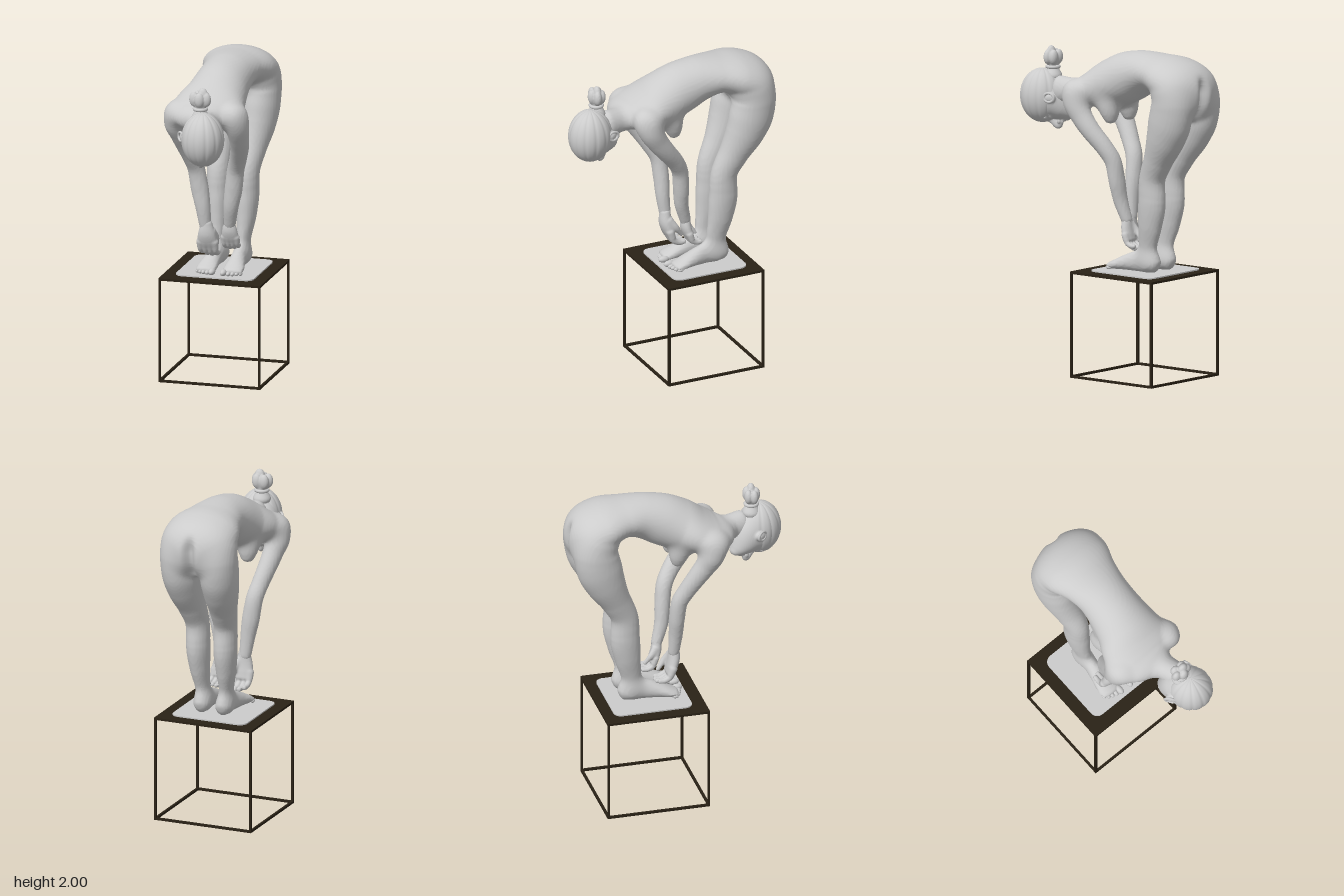
import * as THREE from 'three';

const grey = new THREE.MeshStandardMaterial({ color: 0xcccccc });
const dark = new THREE.MeshStandardMaterial({ color: 0x2a2216 });
const V = (x, y, z) => new THREE.Vector3(x, y, z);

function add(parent, name, geometry, material = grey) {
  const mesh = new THREE.Mesh(geometry, material);
  mesh.name = name;
  parent.add(mesh);
  return mesh;
}

// Signed distance to a set of ellipsoids, each with centre c, axes X, N, T and radii a, b, w
function solid(parts) {
  const box = new THREE.Box3();
  for (const p of parts) box.expandByPoint(p.c.clone().addScalar(p.r)).expandByPoint(p.c.clone().subScalar(p.r));
  const near = box.clone().expandByScalar(0.06), at = V();
  const distance = (x, y, z) => {
    if (!near.containsPoint(at.set(x, y, z))) return 1;
    let best = 1;
    for (const { c, X, N, T, a, b, w, m } of parts) {
      const dx = x - c.x, dy = y - c.y, dz = z - c.z;
      const u = (dx * X.x + dy * X.y + dz * X.z) / a, v = (dx * N.x + dy * N.y + dz * N.z) / b;
      const t = (dx * T.x + dy * T.y + dz * T.z) / w;
      best = Math.min(best, (Math.sqrt(u * u + v * v + t * t) - 1) * m);
    }
    return best;
  };
  return { box, distance };
}

const oval = (c, [a, b, w]) => solid([{ c: V(...c), X: V(1, 0, 0), N: V(0, 1, 0), T: V(0, 0, 1),
  a, b, w, m: Math.min(a, b, w), r: Math.max(a, b, w) }]);

// Round-ended limb through rows of [x, y, z, half width, half depth]
function tube(rows) {
  const path = new THREE.CatmullRomCurve3(rows.map(r => V(r[0], r[1], r[2])));
  const size = new THREE.CatmullRomCurve3(rows.map(r => V(r[3], r[4], 0)));
  const steps = (rows.length - 1) * 12, parts = [];
  for (let i = 0; i <= steps; i++) {
    const T = path.getTangent(i / steps), { x: a, y: b } = size.getPoint(i / steps), m = Math.min(a, b);
    const X = V(1, 0, 0).addScaledVector(T, -T.x).normalize();
    parts.push({ c: path.getPoint(i / steps), X, N: V().crossVectors(T, X), T, a, b, w: m * 0.7, m, r: Math.max(a, b) });
  }
  return solid(parts);
}

function blend(a, b, k) {
  const h = Math.max(k - Math.abs(a - b), 0) / k;
  return Math.min(a, b) - h * h * k / 4;
}

// One smooth skin over a core and its limbs; each limb is a list of solids. h is the mesh spacing
function skin(core, limbs, h, k) {
  const box = core.box.clone();
  limbs.flat().forEach(s => box.union(s.box));
  box.expandByScalar(2 * h);
  const lo = box.min.toArray(), n = box.max.toArray().map((v, i) => Math.ceil((v - lo[i]) / h) + 1);
  const step = [1, n[0], n[0] * n[1]], val = new Float32Array(n[0] * n[1] * n[2]);
  const each = (from, cut, f) => {
    for (let z = from; z < n[2] - cut; z++) for (let y = from; y < n[1] - cut; y++) for (let x = from; x < n[0] - cut; x++)
      f(x + y * step[1] + z * step[2], [x, y, z]);
  };
  each(0, 0, (o, g) => {
    const [x, y, z] = g.map((v, i) => lo[i] + v * h);
    const limb = Math.min(...limbs.map(l => l.reduce((d, s) => blend(d, s.distance(x, y, z), k), 1)));
    val[o] = blend(core.distance(x, y, z), limb, k);
  });
  // A vertex in each cell the surface crosses, then a quad around each crossed edge
  const cell = new Int32Array(val.length), pos = [], index = [];
  each(0, 1, (o, g) => {
    const sum = [0, 0, 0];
    let count = 0;
    for (let c = 0; c < 8; c++) for (let a = 0; a < 3; a++) {
      if (c >> a & 1) continue;
      const bits = [c & 1, c >> 1 & 1, c >> 2], p = o + bits[0] + bits[1] * step[1] + bits[2] * step[2];
      const v0 = val[p], v1 = val[p + step[a]];
      if ((v0 < 0) === (v1 < 0)) continue;
      bits[a] = v0 / (v0 - v1);
      bits.forEach((b, i) => { sum[i] += b; });
      count++;
    }
    if (!count) return;
    cell[o] = pos.length / 3;
    sum.forEach((s, i) => pos.push(lo[i] + (g[i] + s / count) * h));
  });
  each(1, 1, o => {
    for (let a = 0; a < 3; a++) {
      const inside = val[o] < 0, u = step[(a + 1) % 3], w = step[(a + 2) % 3];
      if (inside === (val[o + step[a]] < 0)) continue;
      const q = [o - u - w, o - w, o, o - u].map(c => cell[c]);
      if (!inside) q.reverse();
      index.push(q[0], q[1], q[2], q[0], q[2], q[3]);
    }
  });
  const g = new THREE.BufferGeometry();
  g.setAttribute('position', new THREE.Float32BufferAttribute(pos, 3));
  g.setIndex(index);
  g.computeVertexNormals();
  return g;
}

function buildStand() {
  const g = new THREE.Group();
  g.name = 'stand';
  const h = 0.313, w = 0.014, cz = -0.188;
  const bar = (name, size, p) => add(g, name, new THREE.BoxGeometry(...size), dark).position.set(...p);
  bar('standTop', [0.64, 0.014, 0.64], [0, 0.643, cz]);
  for (const s of [-1, 1]) {
    bar('bottomRail', [0.64, w, w], [0, w / 2, cz + s * h]);
    bar('sideRail', [w, w, 0.64], [s * h, w / 2, cz]);
    for (const t of [-1, 1]) bar('post', [w, 0.64, w], [s * h, 0.32, cz + t * h]);
  }
  // Mat with rounded corners
  const a = 0.245, r = 0.05, shape = new THREE.Shape();
  [[1, 1], [-1, 1], [-1, -1], [1, -1]].forEach(([sx, sy], i) =>
    shape.absarc(sx * (a - r), sy * (a - r), r, i * Math.PI / 2, (i + 1) * Math.PI / 2));
  const mat = add(g, 'mat', new THREE.ExtrudeGeometry(shape, { depth: 0.008, bevelEnabled: false, curveSegments: 8 }));
  mat.rotation.x = -Math.PI / 2;
  mat.position.set(0, 0.65, -0.195);
  return g;
}

function buildHead() {
  // Local +z is the crown, -y the face
  const g = new THREE.Group();
  g.name = 'head';
  g.position.set(0.07, 1.65, 0.52);
  g.rotation.y = 0.42;
  const face = tube([[0, -0.104, -0.168, 0.034, 0.026], [0, -0.085, -0.14, 0.064, 0.052], [0, -0.055, -0.1, 0.09, 0.087],
    [0, -0.02, -0.05, 0.108, 0.124], [0, -0.004, 0, 0.115, 0.148], [0, 0, 0.04, 0.11, 0.145], [0, 0.01, 0.08, 0.06, 0.06]]);
  const nose = tube([[0, -0.132, -0.005, 0.012, 0.018], [0, -0.148, -0.04, 0.015, 0.023], [0, -0.172, -0.072, 0.018, 0.024],
    [0, -0.15, -0.088, 0.02, 0.018]]);
  const features = [[nose], [oval([0, -0.137, -0.112], [0.032, 0.014, 0.01])], [oval([0, -0.13, -0.131], [0.028, 0.014, 0.011])]];
  for (const s of [-1, 1]) features.push([oval([s * 0.016, -0.148, -0.08], [0.012, 0.016, 0.013])],
    [oval([s * 0.046, -0.113, -0.038], [0.024, 0.016, 0.011])], [oval([s * 0.045, -0.12, -0.008], [0.036, 0.016, 0.014])],
    [oval([s * 0.112, 0.008, -0.05], [0.018, 0.028, 0.034])]);
  add(g, 'face', skin(face, features, 0.006, 0.012));
  // Hair drawn back in strands towards the knot
  const hair = new THREE.SphereGeometry(1, 96, 32), p = hair.attributes.position;
  for (let i = 0; i < p.count; i++) {
    const q = Math.atan2(p.getZ(i), p.getX(i)), rim = Math.hypot(p.getX(i), p.getZ(i));
    const k = 1 - 0.035 * rim * Math.pow(Math.abs(Math.cos(q * 6)), 10);
    p.setXYZ(i, p.getX(i) * k * 0.13, p.getY(i) * k * 0.166, p.getZ(i) * k * 0.138);
  }
  hair.computeVertexNormals();
  add(g, 'hair', hair).position.set(0, 0.008, 0.026);
  for (const s of [-1, 1]) {
    const rim = add(g, 'earRim', new THREE.TorusGeometry(0.027, 0.008, 8, 24));
    rim.position.set(s * 0.125, 0.012, -0.046);
    rim.rotation.y = Math.PI / 2 - s * 0.25;
    rim.scale.x = 1.25;
  }
  // Knot of hair held by a tie
  const loops = [[oval([0.065, 1.915, 0.49], [0.034, 0.05, 0.026])]];
  for (let i = 0; i < 5; i++) {
    const q = i / 5 * Math.PI * 2 + 0.3;
    loops.push([oval([0.05 + Math.cos(q) * 0.04, 1.895, 0.488 + Math.sin(q) * 0.03], [0.03, 0.045, 0.024])]);
  }
  const knot = tube([[0.05, 1.78, 0.488, 0.055, 0.055], [0.05, 1.835, 0.488, 0.032, 0.032], [0.05, 1.89, 0.488, 0.046, 0.036]]);
  const tie = new THREE.TorusGeometry(0.036, 0.011, 10, 28).rotateX(Math.PI / 2).translate(0.05, 1.834, 0.488);
  const all = new THREE.Group();
  all.name = 'headAndHair';
  add(all, 'hairKnot', skin(knot, loops, 0.006, 0.012));
  add(all, 'hairTie', tie);
  return all.add(g);
}

// Hand with closed, slightly curled fingers; side mirrors it
function buildHand(name, p, side, scale) {
  const palm = tube([[0, 0.03, 0.002, 0.034, 0.032], [0, -0.04, 0, 0.054, 0.037], [0, -0.09, -0.014, 0.062, 0.032],
    [0, -0.125, -0.03, 0.056, 0.022]]);
  const digits = [0.96, 1.04, 1, 0.86].map((k, i) => {
    const x = -0.047 + i * 0.031;
    return [tube([[x, -0.09, -0.012, 0.018, 0.02], [x, -0.1 - 0.05 * k, -0.032, 0.0175, 0.019],
      [x * 0.96, -0.1 - 0.075 * k, -0.03 - 0.045 * k, 0.016, 0.017], [x * 0.92, -0.1 - 0.075 * k, -0.03 - 0.08 * k, 0.014, 0.014]])];
  });
  digits.push([tube([[-0.03, -0.02, -0.015, 0.022, 0.022], [-0.044, -0.065, -0.045, 0.02, 0.021],
    [-0.04, -0.1, -0.072, 0.016, 0.016], [-0.036, -0.125, -0.09, 0.013, 0.013]])]);
  const g = new THREE.Group();
  add(g, name, skin(palm, digits, 0.006, 0.015));
  g.position.set(...p);
  g.scale.set(side * scale, scale, scale);
  return g;
}

function buildBody() {
  const torso = tube([[0.02, 1.67, -0.535, 0.17, 0.09], [0.02, 1.73, -0.546, 0.21, 0.133], [0.02, 1.8, -0.525, 0.234, 0.15],
    [0.02, 1.858, -0.44, 0.226, 0.13], [0.02, 1.88, -0.32, 0.183, 0.115], [0.02, 1.865, -0.2, 0.163, 0.135],
    [0.015, 1.825, -0.08, 0.17, 0.155], [0.01, 1.78, 0.03, 0.19, 0.15], [0, 1.745, 0.12, 0.222, 0.125],
    [0, 1.722, 0.2, 0.228, 0.103], [0.008, 1.712, 0.255, 0.185, 0.088], [0.022, 1.704, 0.3, 0.11, 0.078],
    [0.04, 1.7, 0.35, 0.076, 0.078], [0.06, 1.7, 0.42, 0.072, 0.086]]);
  // Arms reaching down to the feet
  const leftArm = tube([[0.155, 1.752, 0.2, 0.05, 0.06], [0.178, 1.72, 0.208, 0.075, 0.082], [0.192, 1.66, 0.19, 0.073, 0.077],
    [0.19, 1.58, 0.145, 0.062, 0.066], [0.178, 1.5, 0.085, 0.057, 0.059], [0.145, 1.4, 0.005, 0.053, 0.053],
    [0.118, 1.32, -0.038, 0.053, 0.05], [0.1, 1.2, -0.055, 0.055, 0.048], [0.08, 1.08, -0.067, 0.047, 0.043],
    [0.062, 0.957, -0.102, 0.036, 0.034]]);
  const rightArm = tube([[-0.155, 1.745, 0.185, 0.05, 0.06], [-0.178, 1.71, 0.192, 0.075, 0.082], [-0.192, 1.65, 0.18, 0.073, 0.077],
    [-0.18, 1.58, 0.145, 0.063, 0.066], [-0.164, 1.5, 0.095, 0.058, 0.059], [-0.14, 1.4, 0.035, 0.053, 0.053],
    [-0.122, 1.32, -0.005, 0.053, 0.05], [-0.104, 1.2, -0.018, 0.055, 0.048], [-0.084, 1.08, -0.02, 0.047, 0.043],
    [-0.07, 0.95, -0.03, 0.036, 0.034]]);
  const limbs = [[leftArm], [rightArm]];
  for (const s of [-1, 1]) {
    const x = d => 0.015 + s * d, b = 0.013 + s * 0.088;
    const leg = tube([[x(0.125), 1.77, -0.5, 0.1, 0.11], [x(0.128), 1.7, -0.52, 0.115, 0.135], [x(0.126), 1.61, -0.505, 0.115, 0.139],
      [x(0.12), 1.5, -0.465, 0.105, 0.123], [x(0.105), 1.37, -0.4, 0.085, 0.094], [x(0.093), 1.24, -0.34, 0.071, 0.084],
      [x(0.09), 1.08, -0.334, 0.07, 0.091], [x(0.087), 0.95, -0.317, 0.059, 0.08], [x(0.078), 0.81, -0.293, 0.042, 0.063],
      [x(0.074), 0.74, -0.302, 0.043, 0.065], [x(0.073), 0.715, -0.315, 0.042, 0.058]]);
    const foot = tube([[x(0.07), 0.7, -0.34, 0.036, 0.04], [x(0.072), 0.718, -0.3, 0.045, 0.057], [x(0.074), 0.722, -0.22, 0.044, 0.062],
      [x(0.08), 0.705, -0.12, 0.055, 0.045], [x(0.084), 0.69, -0.06, 0.063, 0.031], [x(0.085), 0.68, -0.018, 0.06, 0.021]]);
    const breast = tube([[b, 1.73, 0.05, 0.066, 0.08], [b, 1.66, 0.012, 0.07, 0.072], [b, 1.61, -0.002, 0.059, 0.056],
      [b, 1.57, -0.008, 0.04, 0.038]]);
    limbs.push([leg, foot], [breast]);
  }
  const g = skin(torso, limbs, 0.0115, 0.04);
  // Cleft between the buttocks
  const p = g.attributes.position, ramp = THREE.MathUtils.smoothstep;
  for (let i = 0; i < p.count; i++) {
    const x = (p.getX(i) - 0.02) / 0.032, z = p.getZ(i), y = p.getY(i);
    const k = ramp(-z, 0.54, 0.66) * (1 - ramp(y, 1.78, 1.91)) * ramp(y, 1.5, 1.65);
    p.setZ(i, z + 0.05 * k * Math.exp(-x * x));
  }
  g.computeVertexNormals();
  return g;
}

export function createModel() {
  const model = new THREE.Group();
  model.name = 'bendingFigureOnStand';
  model.add(buildStand(), buildHead());
  add(model, 'body', buildBody());
  model.add(buildHand('leftHand', [0.06, 0.95, -0.105], 1, 0.86), buildHand('rightHand', [-0.062, 0.945, -0.028], -1, 1));
  // Toes, big to little
  for (const s of [-1, 1]) [0.036, 0.066, 0.091, 0.114, 0.135].forEach((x, i) => {
    const r = i ? 0.0145 - i * 0.0008 : 0.02;
    const toe = add(model, 'toe', new THREE.SphereGeometry(r, 16, 12));
    toe.position.set(0.015 + s * x, 0.66 + r, 0.002 - i * i * 0.002);
    toe.scale.z = 1.7;
  });
  return model;
}
